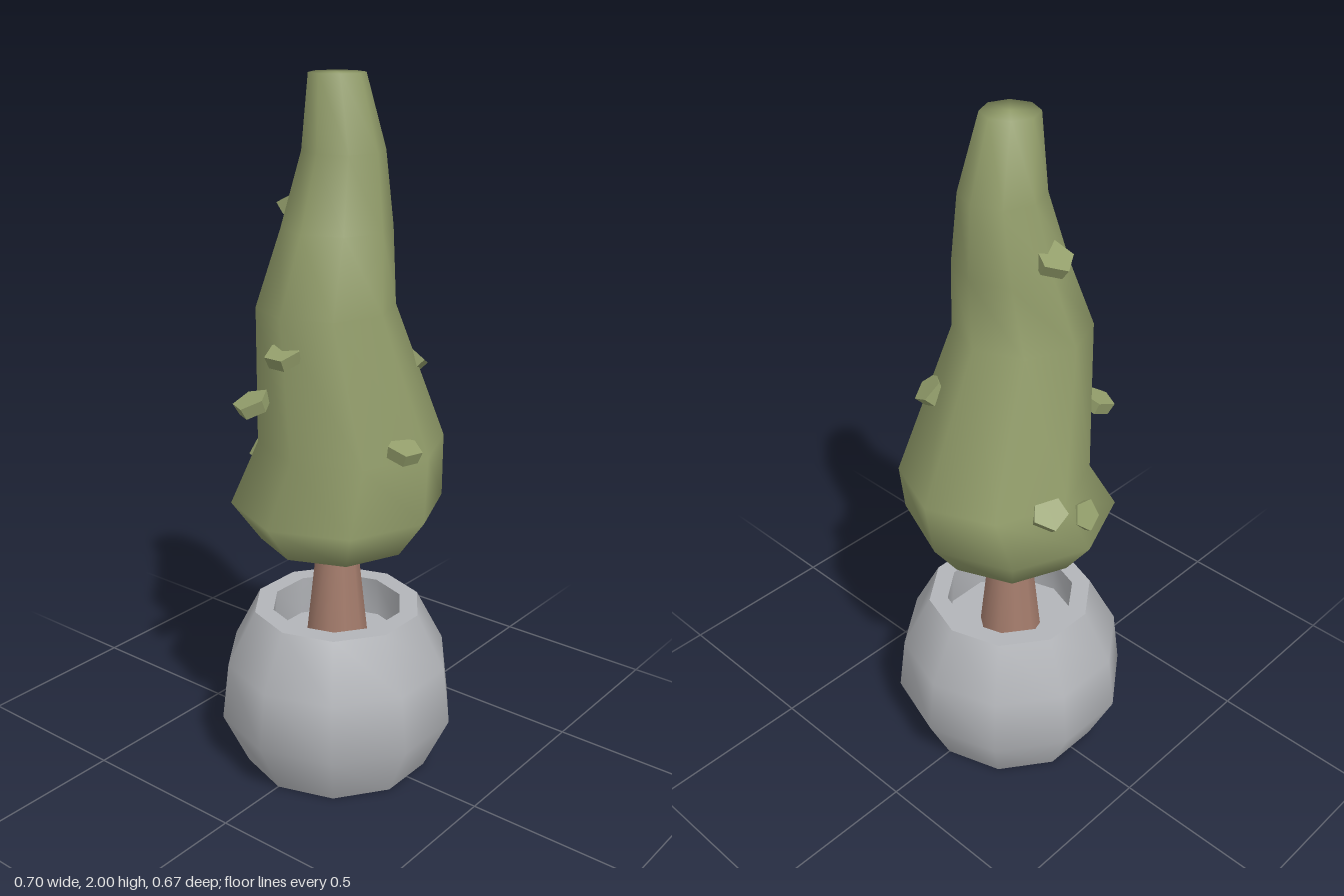
import * as THREE from 'three';
import { mergeVertices, toCreasedNormals } from 'three/addons/utils/BufferGeometryUtils.js';

const material = (name, color) => {
  const m = new THREE.MeshStandardMaterial({ color });
  m.name = name;
  return m;
};

const lathe = (profile, sides, start = 0) =>
  new THREE.LatheGeometry(profile.map(([r, y]) => new THREE.Vector2(r, y)), sides, start);

// Share vertices so that shading is continuous over the whole surface
function smooth(geometry) {
  geometry.deleteAttribute('uv');
  geometry.deleteAttribute('normal');
  const merged = mergeVertices(geometry, 1e-4);
  merged.computeVertexNormals();
  return merged;
}

export function createModel() {
  const model = new THREE.Group();
  const stone = material('grey stone', 0xb3b5b9);
  const bark = material('brown bark', 0xa47c6c);
  const leaf = material('olive foliage', 0x939e6b);

  const add = (name, geometry, mat) => {
    const mesh = new THREE.Mesh(geometry, mat);
    mesh.name = name;
    model.add(mesh);
    return mesh;
  };

  // Ten-sided pot: outer wall, rim, inner wall and recessed floor
  const potProfile = [
    [0, 0], [0.275, 0], [0.35, 0.16], [0.33, 0.33], [0.247, 0.49],
    [0.192, 0.49], [0.2, 0.37], [0, 0.37],
  ];
  const pot = smooth(lathe(potProfile, 10, Math.PI / 2));
  add('pot', toCreasedNormals(pot, 0.9), stone);

  // Tapered trunk
  const trunk = new THREE.CylinderGeometry(0.052, 0.092, 0.37, 10);
  add('trunk', trunk, bark).position.y = 0.555;

  // Foliage: stacked octagons [radius, height, sideways shift]
  const rings = [
    [0, 0.705, 0], [0.22, 0.705, 0], [0.303, 0.82, 0], [0.267, 0.985, 0.065],
    [0.19, 1.395, -0.048], [0.152, 1.6, 0], [0.113, 1.8, 0.028], [0.076, 2, 0], [0, 2, 0],
  ];
  const crown = lathe(rings, 8);
  const p = crown.attributes.position;
  for (let i = 0; i < p.count; i++) p.setX(i, p.getX(i) + rings[i % rings.length][2]);
  add('foliage', smooth(crown), leaf);

  // Loose leaf clumps: position, outward lean of the top face, spin, radius
  const clumps = [
    [-0.028, 1.025, 0.25, 0.3, 0.4, 0.05],
    [0.168, 1.225, 0.132, 0.75, 0.9, 0.048],
    [-0.225, 1.29, 0, 0.35, 0.3, 0.05],
    [-0.213, 1.13, -0.125, 0.4, 1.1, 0.053],
    [-0.01, 0.915, -0.265, 1.1, 0.5, 0.046],
    [0.115, 0.98, -0.25, 0.7, 0.2, 0.052],
    [-0.005, 1.65, -0.14, 0.5, 0.6, 0.055],
  ];
  const up = new THREE.Vector3(0, 1, 0);
  for (const [x, y, z, lean, spin, r] of clumps) {
    const chip = new THREE.CylinderGeometry(r, r * 0.9, 0.036, 5).toNonIndexed();
    chip.computeVertexNormals();
    const mesh = add('leafClump', chip, leaf);
    const out = new THREE.Vector3(x, 0, z).normalize();
    const normal = out.multiplyScalar(Math.sin(lean)).addScaledVector(up, Math.cos(lean));
    mesh.position.set(x, y, z);
    mesh.quaternion.setFromUnitVectors(up, normal);
    mesh.rotateY(spin);
  }
  return model;
}
